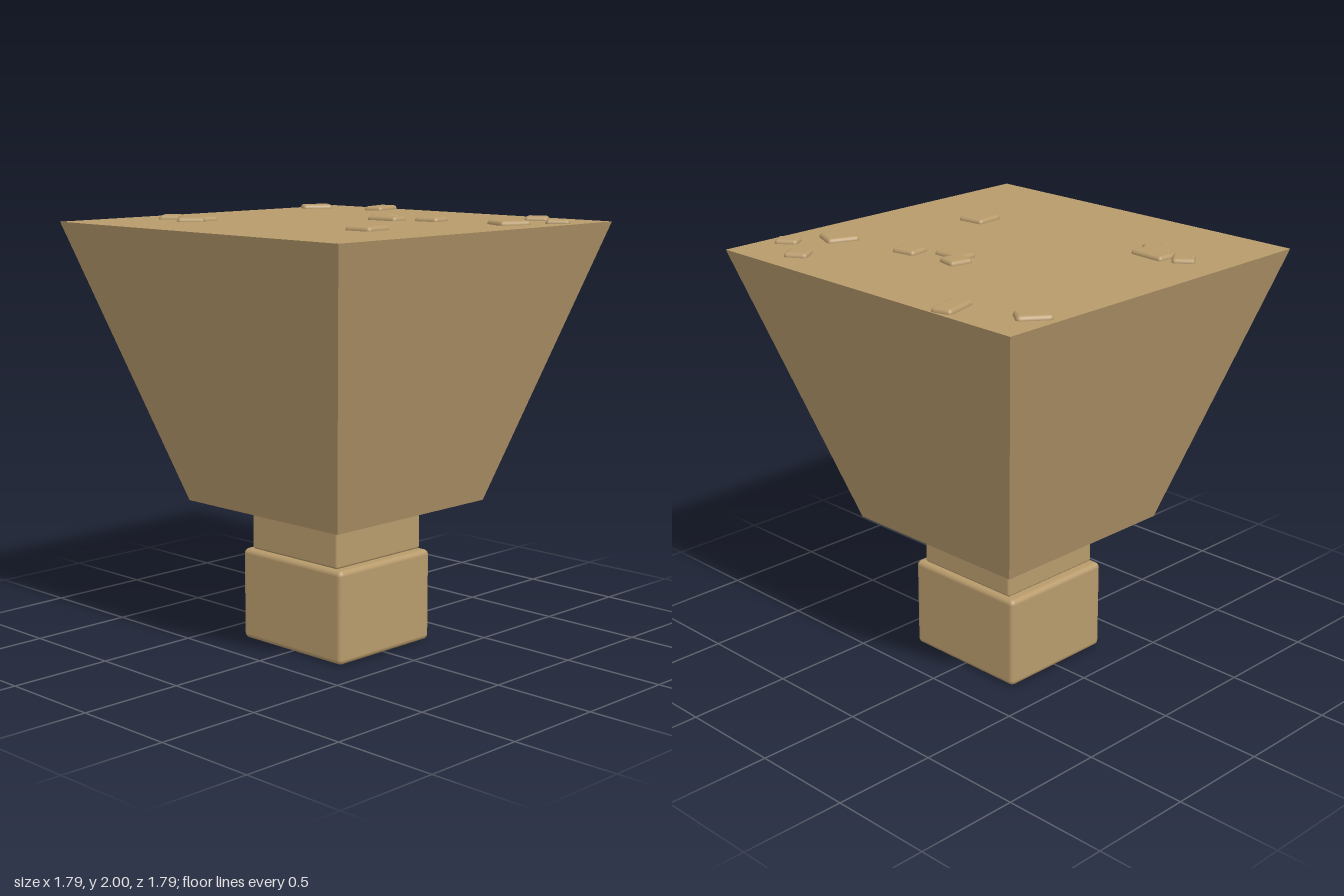
import * as THREE from 'three';
import { RoundedBoxGeometry } from 'three/addons/geometries/RoundedBoxGeometry.js';

const TAN = 0xb89b6c;

export function createModel() {
  const model = new THREE.Group();
  model.name = 'floatingPlatform';
  const smooth = new THREE.MeshStandardMaterial({ color: TAN });
  const flat = new THREE.MeshStandardMaterial({ color: TAN, flatShading: true });

  const add = (name, geometry, material, x, y, z, turn = 0) => {
    const mesh = new THREE.Mesh(geometry, material);
    mesh.name = name;
    mesh.position.set(x, y, z);
    mesh.rotation.y = THREE.MathUtils.degToRad(turn);
    model.add(mesh);
  };

  // Foot and the narrower neck standing on it
  add('base', new RoundedBoxGeometry(0.605, 0.44, 0.65, 2, 0.025), smooth, 0, 0.22, 0);
  add('neck', new RoundedBoxGeometry(0.56, 0.185, 0.56, 2, 0.012), smooth, 0, 0.5325, 0);

  // Square block flaring upward, floating just above the neck
  const bottom = 0.675, top = 1.98;
  const block = new THREE.CylinderGeometry(0.893 * Math.SQRT2, 0.488 * Math.SQRT2, top - bottom, 4);
  block.rotateY(Math.PI / 4);
  add('flaredBlock', block, flat, 0, (bottom + top) / 2, 0);

  // Stones half sunk in the top: x, z, width, depth, turn in degrees
  const stones = [
    [0.648, -0.78, 0.155, 0.105, -37],
    [0.79, -0.462, 0.18, 0.1, 15],
    [-0.41, -0.675, 0.115, 0.105, 38],
    [-0.38, -0.53, 0.115, 0.185, -4],
    [-0.443, -0.493, 0.15, 0.125, 43],
    [0.31, 0.015, 0.115, 0.11, -12],
    [0.24, 0.093, 0.095, 0.17, 3],
    [0.335, 0.285, 0.11, 0.125, 8],
    [-0.285, 0.47, 0.15, 0.14, 5],
    [0.41, 0.68, 0.155, 0.145, -22],
    [0.72, 0.595, 0.105, 0.11, 33],
    [0.615, 0.797, 0.085, 0.11, 35],
  ];
  for (const [x, z, w, d, turn] of stones) {
    add('stone', new RoundedBoxGeometry(w, 0.04, d, 2, 0.018), smooth, x, top, z, turn);
  }
  return model;
}
